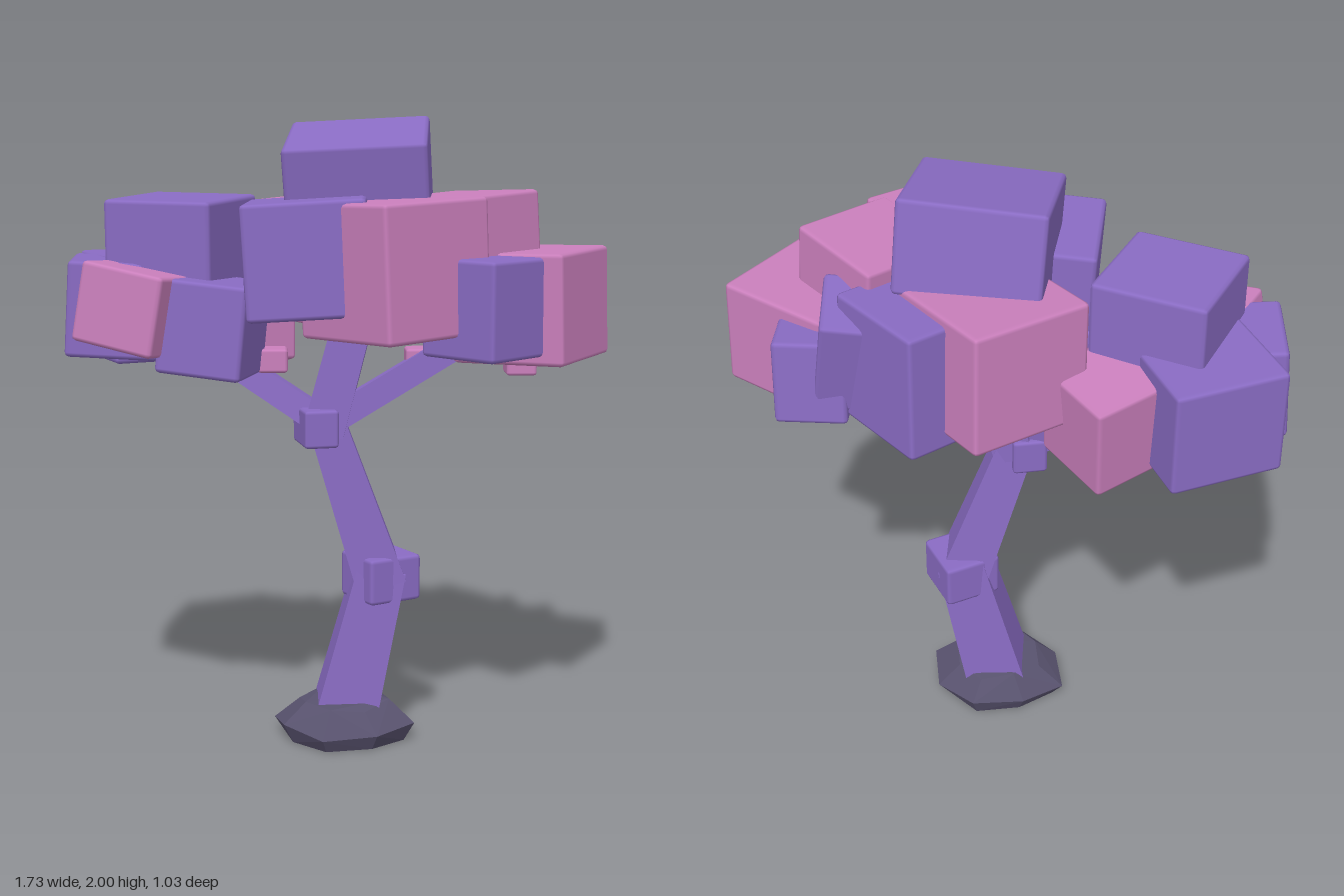
import * as THREE from 'three';
import { RoundedBoxGeometry } from 'three/addons/geometries/RoundedBoxGeometry.js';
import { ConvexGeometry } from 'three/addons/geometries/ConvexGeometry.js';

const purple = new THREE.MeshStandardMaterial({ color: 0x8a6cc4 });
purple.name = 'purple wood and leaves';
const pink = new THREE.MeshStandardMaterial({ color: 0xcb80bd });
pink.name = 'pink blossom';
const slate = new THREE.MeshStandardMaterial({ color: 0x59536f });
slate.name = 'slate rock';

const V = (x, y, z) => new THREE.Vector3(x, y, z);

function add(group, name, geometry, material) {
  const mesh = new THREE.Mesh(geometry, material);
  mesh.name = name;
  group.add(mesh);
  return mesh;
}

// Softly bevelled block: position, size, then yaw and tilts
function block(group, name, material, [x, y, z], [w, h, d], yaw = 0, rx = 0, rz = 0) {
  const r = Math.min(0.014, w * 0.1);
  const mesh = add(group, name, new RoundedBoxGeometry(w, h, d, 1, r), material);
  mesh.position.set(x, y, z);
  // Tilts are applied in the world frame after the yaw
  const spin = new THREE.Quaternion().setFromEuler(new THREE.Euler(0, yaw, 0));
  mesh.quaternion.setFromEuler(new THREE.Euler(rx, 0, rz)).multiply(spin);
  return mesh;
}

// Tapered square limb between two points
function limb(group, name, a, b, wa, wb, yaw = 0) {
  const dir = b.clone().sub(a);
  const g = new THREE.CylinderGeometry(wb / Math.SQRT2, wa / Math.SQRT2, dir.length(), 4).toNonIndexed();
  g.rotateY(Math.PI / 4 + yaw);
  g.computeVertexNormals();
  const mesh = add(group, name, g, purple);
  mesh.position.copy(a).add(b).multiplyScalar(0.5);
  mesh.quaternion.setFromUnitVectors(V(0, 1, 0), dir.normalize());
}

export function createModel() {
  const tree = new THREE.Group();
  tree.name = 'blockTree';

  // Rock at the foot: hull of three uneven rings
  const points = [];
  const wobble = [1, 0.92, 1.04, 0.95, 1.02, 0.9, 1.03, 0.96];
  [[0, 0.2, 0.17], [0.05, 0.235, 0.195], [0.125, 0.15, 0.14]].forEach(([y, rx, rz], ring) => {
    wobble.forEach((k, i) => {
      const t = ((i + 0.3) / wobble.length) * Math.PI * 2;
      const drop = ring === 0 ? 0 : 0.012 * Math.sin(i * 2.3 + ring);
      points.push(V(0.03 + rx * k * Math.cos(t), y + drop, 0.01 + rz * k * Math.sin(t)));
    });
  });
  add(tree, 'baseRock', new ConvexGeometry(points), slate);

  // Bent trunk, branches and knots
  limb(tree, 'lowerTrunk', V(0.02, 0.04, 0), V(0.145, 0.57, -0.01), 0.2, 0.155, 0.1);
  limb(tree, 'upperTrunk', V(0.145, 0.51, -0.01), V(-0.035, 1.06, 0.02), 0.16, 0.115, 0.1);
  limb(tree, 'middleBranch', V(-0.035, 1.01, 0.02), V(0.08, 1.45, 0.01), 0.13, 0.12);
  limb(tree, 'leftBranch', V(-0.02, 1.04, 0.02), V(0.5, 1.36, 0), 0.085, 0.08);
  limb(tree, 'rightBranch', V(-0.04, 1.04, 0.02), V(-0.5, 1.33, -0.05), 0.085, 0.08);
  block(tree, 'lowerKnot', purple, [0.145, 0.535, -0.02], [0.19, 0.15, 0.19], 0.6);
  block(tree, 'upperKnot', purple, [-0.06, 1.03, 0.035], [0.11, 0.12, 0.18], 0.3);

  // Foliage blocks: [position, size, yaw, tilt x, tilt z]
  const leaves = new THREE.Group();
  leaves.name = 'purpleFoliage';
  [
    [[0.075, 1.805, -0.005], [0.44, 0.29, 0.43], 0, 0.19, 0.05],
    [[-0.49, 1.575, -0.035], [0.36, 0.34, 0.37], -0.3, 0.03, 0],
    [[-0.62, 1.39, -0.19], [0.36, 0.34, 0.34], 0.52, 0, 0],
    [[-0.7, 1.4, -0.01], [0.29, 0.3, 0.3], 0.12, 0, -0.06],
    [[-0.37, 1.355, 0.13], [0.27, 0.29, 0.3], -0.15, 0, -0.1],
    [[-0.07, 1.575, 0.185], [0.375, 0.35, 0.38], 0.03, 0, 0.06],
    [[0.47, 1.43, 0.22], [0.28, 0.3, 0.28], 0.86, 0, 0],
    [[0.2, 1.51, -0.24], [0.36, 0.4, 0.38], -0.75, 0.05, 0],
    [[0.55, 1.42, -0.2], [0.22, 0.27, 0.24], 0.1, 0.08, 0],
    [[0.42, 1.51, -0.2], [0.22, 0.32, 0.25], 0.15, -0.15, 0.15],
  ].forEach((spec) => block(leaves, 'leafBlock', purple, ...spec));
  tree.add(leaves);

  const blossom = new THREE.Group();
  blossom.name = 'pinkFoliage';
  [
    [[-0.6, 1.41, 0.14], [0.29, 0.25, 0.27], -0.4, 0, -0.17],
    [[0.19, 1.545, 0.225], [0.41, 0.41, 0.41], 0.75, 0, 0.04],
    [[0.61, 1.42, 0.02], [0.37, 0.34, 0.37], -0.46, 0, 0.03],
    [[0.4, 1.6, 0.02], [0.35, 0.32, 0.33], -0.72, 0, 0.06],
    [[0.005, 1.54, -0.235], [0.4, 0.38, 0.4], 0.77, 0.08, 0],
    [[-0.34, 1.36, -0.24], [0.28, 0.31, 0.28], 0.75, -0.1, 0],
  ].forEach((spec) => block(blossom, 'blossomBlock', pink, ...spec));

  // Little blossom cubes hanging underneath
  [[0.265, 1.235, -0.04], [0.58, 1.235, 0.01], [-0.2, 1.235, 0], [-0.34, 1.215, -0.26]]
    .forEach((p) => block(blossom, 'blossomBud', pink, p, [0.095, 0.075, 0.095], 0.1));
  tree.add(blossom);

  return tree;
}
